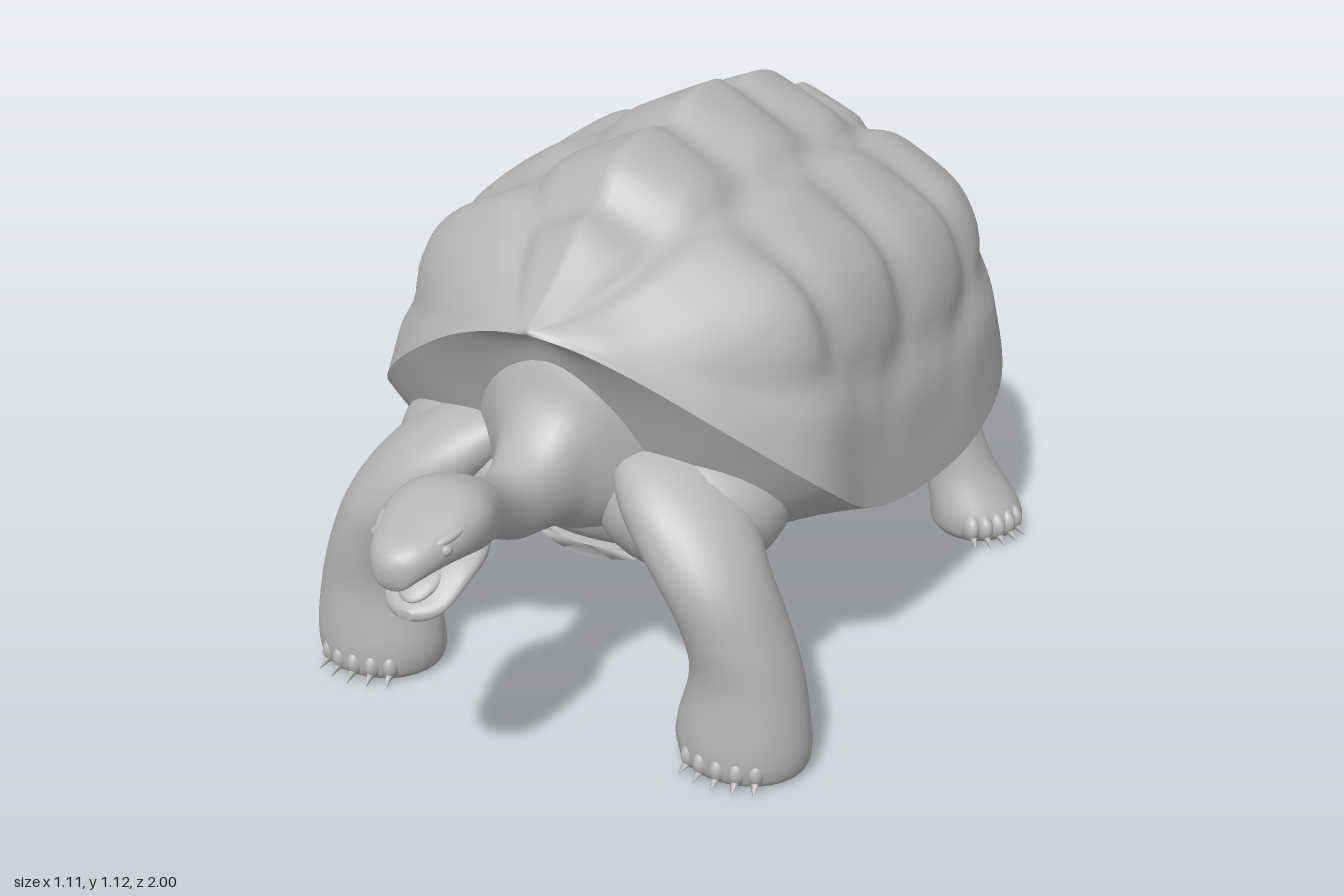
import * as THREE from 'three';

const skin = new THREE.MeshStandardMaterial({ color: 0xb6b6b6, side: THREE.DoubleSide });
skin.name = 'stone grey';

// Smooth a table of numbers: n steps between each pair of rows
function smooth(rows, n) {
  const out = [], last = rows.length - 1;
  for (let i = 0; i <= last * n; i++) {
    const k = Math.min(Math.floor(i / n), last - 1), t = i / n - k;
    const [a, b, c, d] = [k - 1, k, k + 1, k + 2].map(q => rows[Math.max(0, Math.min(last, q))]);
    out.push(b.map((_, j) => 0.5 * (2 * b[j] + (c[j] - a[j]) * t
      + (2 * a[j] - 5 * b[j] + 4 * c[j] - d[j]) * t * t
      + (3 * b[j] - a[j] - 3 * c[j] + d[j]) * t * t * t)));
  }
  return out;
}

// Skin over rows of points; closed rows become capped tubes
function surface(rows, closed) {
  const m = rows[0].length, pos = rows.flat(2), index = [];
  for (let i = 0; i < rows.length - 1; i++) {
    for (let j = 0; j < (closed ? m : m - 1); j++) {
      const a = i * m + j, b = i * m + (j + 1) % m;
      index.push(a, b, a + m, b, b + m, a + m);
    }
  }
  if (closed) {
    [0, rows.length - 1].forEach(r => {
      const c = pos.length / 3;
      for (let k = 0; k < 3; k++) pos.push(rows[r].reduce((s, p) => s + p[k], 0) / m);
      for (let j = 0; j < m; j++) {
        const a = r * m + j, b = r * m + (j + 1) % m;
        r ? index.push(a, b, c) : index.push(b, a, c);
      }
    });
  }
  const g = new THREE.BufferGeometry();
  g.setAttribute('position', new THREE.Float32BufferAttribute(pos, 3));
  g.setIndex(index);
  g.computeVertexNormals();
  return g;
}

function add(parent, name, geometry) {
  const mesh = new THREE.Mesh(geometry, skin);
  mesh.name = name;
  parent.add(mesh);
  return mesh;
}

function ellipsoid(parent, name, position, radii) {
  const mesh = add(parent, name, new THREE.SphereGeometry(1, 28, 18));
  mesh.position.set(...position);
  mesh.scale.set(...radii);
  return mesh;
}

const circle = Array.from({ length: 28 }, (_, i) => i / 28 * Math.PI * 2);
const full = v => Math.sign(v) * Math.abs(v) ** 0.85;

// Tube along z from rows of [z, top, bottom, half width]
const alongZ = rows => surface(smooth(rows, 5).map(([z, t, b, w]) =>
  circle.map(a => [w * full(Math.cos(a)), (t + b) / 2 + (t - b) / 2 * full(Math.sin(a)), z])), true);

// Tube along y from rows of [y, centre x, radius x, centre z, radius z]
const alongY = rows => surface(smooth(rows, 5).map(([y, x, rx, z, rz]) =>
  circle.map(a => [x + rx * Math.sin(a), y, z + rz * Math.cos(a)])), true);

// Shell stations: rim x y z, crest y z, belly y z, roundness
const stations = smooth([
  [0.00, .855, .51, .862, .515, .85, .49, .2],
  [.10, .835, .495, .885, .47, .80, .45, .25],
  [.22, .78, .46, .93, .40, .64, .40, .35],
  [.38, .66, .37, 1.02, .27, .44, .34, .65],
  [.49, .53, .24, 1.085, .14, .31, .27, .9],
  [.505, .41, .06, 1.10, -.02, .305, .05, 1],
  [.52, .36, -.15, 1.112, -.2, .305, -.15, 1],
  [.53, .36, -.40, 1.08, -.37, .305, -.40, 1],
  [.50, .41, -.62, 1.035, -.52, .315, -.60, 1],
  [.40, .52, -.78, .945, -.69, .37, -.75, .9],
  [.285, .57, -.87, .78, -.82, .50, -.83, .7],
  [.19, .60, -.94, .64, -.925, .60, -.92, .5],
], 8);

// Half profile of the dome from rim to crest
const profile = new THREE.SplineCurve([[1, 0], [.98, .15], [.95, .32], [.84, .62], [.6, .785], [.36, .88], [0, 1]]
  .map(p => new THREE.Vector2(...p))).getSpacedPoints(36);

// Scute centres as [distance from crest, z]; grooves run between them
const scutes = [[0, .38], [0, .10], [0, -.20], [0, -.46], [0, -.72],
  [.54, .25], [.54, -.05], [.54, -.34], [.5, -.62], [.98, .1], [.98, -.2], [.98, -.48]];

function scuteHeight(s, z) {
  const d = scutes.map(([a, b]) => Math.hypot(s - a, (z - b) * 1.15)).sort((p, q) => p - q);
  const groove = Math.exp(-Math.pow((d[1] - d[0]) / 0.11, 2));
  return (0.008 - 0.03 * groove) * THREE.MathUtils.smoothstep(1 - s, 0.05, 0.4);
}

function domeRow([rx, ry, rz, cy, cz, , , f]) {
  const half = profile.map((p, i) => {
    const t = i / 36;
    const px = THREE.MathUtils.lerp(1 - t, p.x, f), py = THREE.MathUtils.lerp(t, p.y, f);
    const x = rx * px, y = ry + (cy - ry) * py, z = rz + (cz - rz) * py;
    const len = Math.hypot(x, y - 0.5) || 1;
    const h = scuteHeight(1 - t, z) * Math.min(1, (rx / 0.42) ** 2);
    return [x * (1 + h / len), y + (y - 0.5) / len * h, z];
  });
  return [...half.map(([x, y, z]) => [-x, y, z]), ...half.slice(0, -1).reverse()];
}

function bellyRow([rx, ry, rz, , , by, bz]) {
  return Array.from({ length: 41 }, (_, i) => {
    const t = 1 - i / 20, k = t * t;
    return [rx * t, by + (ry - by) * k, bz + (rz - bz) * k];
  });
}

// Plastron plate with a rear notch, bowed up at its sides and rear
const plastron = surface(Array.from({ length: 33 }, (_, i) => {
  const u = i / 32, w = .33 * Math.sin(Math.PI * (.1 + .75 * u)) ** .7;
  const at = (t, lift) => {
    const x = w * t, z = .3 - 1.09 * u - .05 * t * t * (1 - 2 * u);
    const notch = .08 * (1 - Math.abs(t)) * u ** 4;
    return [x, .287 + .42 * x * x + .9 * Math.max(0, u - .72) ** 2 + lift, z + notch];
  };
  const span = Array.from({ length: 17 }, (_, j) => j / 8 - 1);
  return [...span.map(t => at(t, 0)), ...span.reverse().map(t => at(t, .025))];
}).reverse(), true);

// Leg with toes and claws fanned around the foot
function makeLeg(name, rows, foot, turn) {
  const leg = new THREE.Group();
  leg.name = name;
  add(leg, 'limb', alongY(rows));
  const [cx, cz, rx, rz] = foot;
  for (let i = -2; i <= 2; i++) {
    const a = turn + i * 0.31, toe = new THREE.Group();
    toe.position.set(cx + rx * Math.sin(a), .03, cz + rz * Math.cos(a));
    toe.rotation.y = THREE.MathUtils.lerp(turn, a, .5);
    leg.add(toe);
    ellipsoid(toe, 'toe', [0, .008, -.02], [.02, .032, .034]);
    const claw = add(toe, 'claw', new THREE.ConeGeometry(.014, .05, 8));
    claw.rotation.x = Math.PI / 2 + .6;
    claw.position.set(0, -.012, .008);
  }
  return leg;
}

export function createModel() {
  const tortoise = new THREE.Group();
  tortoise.name = 'tortoise';

  // Shell and underside
  add(tortoise, 'shell', surface(stations.map(domeRow), false));
  add(tortoise, 'body', surface(stations.map(bellyRow), false));
  add(tortoise, 'plastron', plastron);

  // Neck and upper head in one sweep
  add(tortoise, 'neckAndHead', alongZ([
    [.32, .86, .38, .24], [.39, .83, .40, .18], [.435, .78, .42, .13], [.47, .69, .44, .098],
    [.53, .625, .455, .075], [.60, .605, .47, .062], [.68, .635, .51, .064], [.74, .67, .53, .08],
    [.80, .686, .545, .098], [.86, .677, .56, .096], [.92, .655, .565, .078], [.965, .638, .56, .058],
    [.99, .62, .552, .036], [1.0, .60, .575, .010]]));

  // Open lower jaw and tongue
  add(tortoise, 'lowerJaw', alongZ([
    [.74, .60, .54, .06], [.80, .585, .53, .086], [.86, .555, .508, .084],
    [.91, .515, .478, .068], [.935, .50, .467, .045], [.95, .49, .472, .015]]));
  ellipsoid(tortoise, 'tongue', [0, .53, .885], [.04, .014, .06]).rotation.x = .5;

  // Tail, tip first
  add(tortoise, 'tail', alongZ([
    [-1, .415, .405, .005], [-.97, .455, .412, .025], [-.93, .505, .425, .043],
    [-.88, .555, .435, .062], [-.82, .595, .42, .085], [-.70, .60, .38, .13]]));

  for (const side of [1, -1]) {
    const half = new THREE.Group();
    half.name = side > 0 ? 'leftSide' : 'rightSide';
    half.scale.x = side;
    tortoise.add(half);

    half.add(makeLeg('frontLeg', [
      [0, .415, .11, .41, .095], [.02, .415, .13, .41, .115], [.08, .415, .135, .415, .115],
      [.2, .42, .112, .415, .106], [.3, .395, .105, .42, .11], [.4, .345, .113, .42, .115],
      [.48, .285, .125, .39, .125], [.54, .235, .12, .355, .125], [.59, .19, .095, .32, .10],
      [.62, .165, .04, .30, .04]], [.413, .415, .125, .11], .0));
    ellipsoid(half, 'shoulder', [.22, .47, .27], [.2, .15, .18]);

    half.add(makeLeg('backLeg', [
      [0, .43, .085, -.69, .085], [.02, .43, .10, -.69, .10], [.06, .425, .098, -.685, .098],
      [.15, .385, .077, -.685, .077], [.25, .35, .075, -.675, .076], [.35, .31, .092, -.665, .09],
      [.43, .26, .11, -.65, .11], [.5, .21, .10, -.62, .10]], [.43, -.68, .095, .1], 1.0));
    ellipsoid(half, 'hip', [.22, .45, -.63], [.17, .11, .15]);

    // Eye under a heavy brow
    ellipsoid(half, 'eye', [.072, .617, .916], [.012, .012, .014]);
    ellipsoid(half, 'brow', [.068, .635, .905], [.012, .009, .035]).rotation.set(.25, -.4, 0);
  }
  return tortoise;
}
